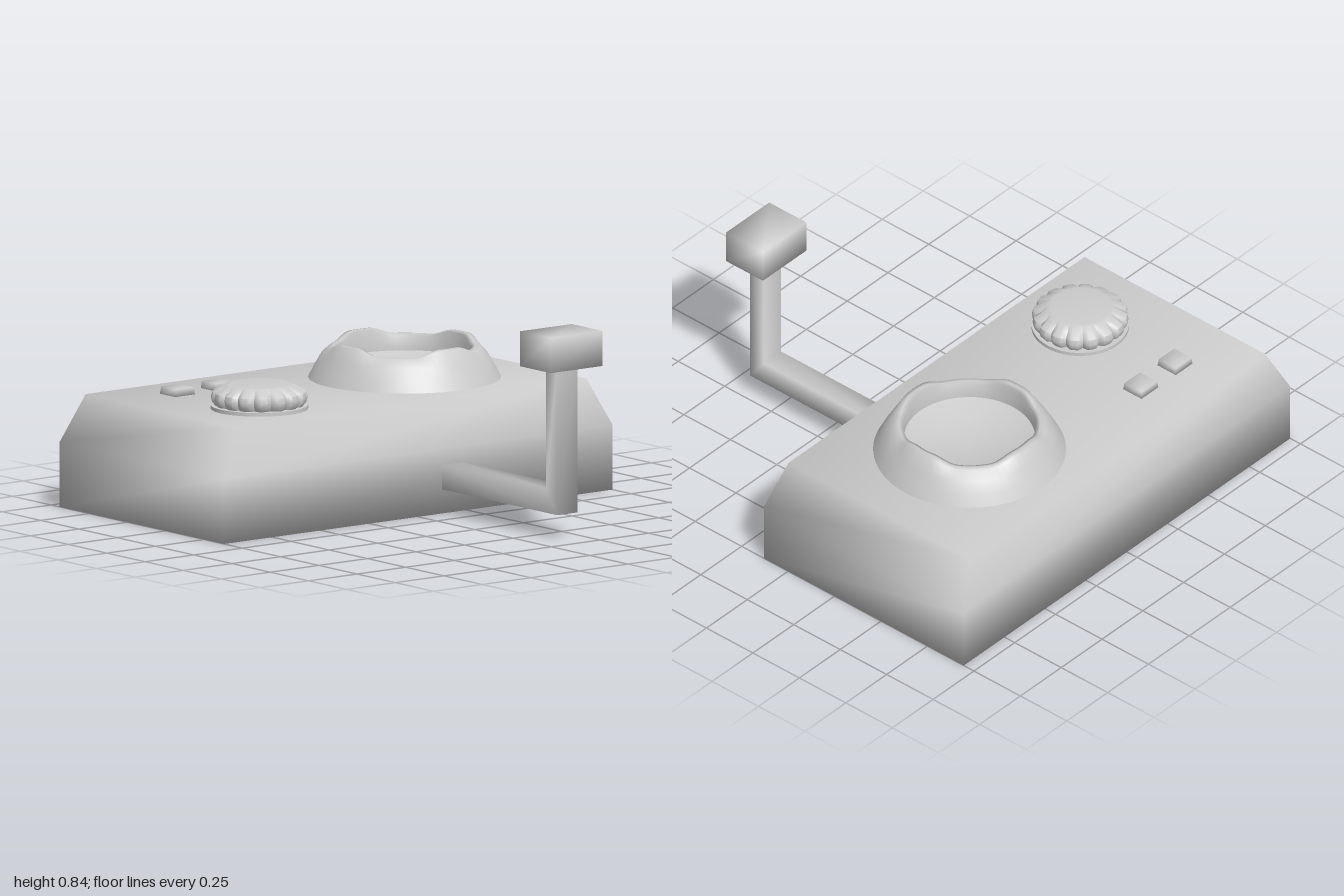
import * as THREE from 'three';
import { mergeVertices, toCreasedNormals } from 'three/addons/utils/BufferGeometryUtils.js';

const material = new THREE.MeshStandardMaterial({ color: 0xcccccc });

// Share corner vertices so the shading runs smoothly over the edges
function smooth(geo) {
  geo.deleteAttribute('uv');
  geo.deleteAttribute('normal');
  const merged = mergeVertices(geo, 1e-4);
  merged.computeVertexNormals();
  return merged;
}

// Move every vertex by a rule
function reshape(geo, rule) {
  const p = geo.attributes.position;
  const v = new THREE.Vector3();
  for (let i = 0; i < p.count; i++) {
    v.fromBufferAttribute(p, i);
    rule(v);
    p.setXYZ(i, v.x, v.y, v.z);
  }
  return geo;
}

function lathe(points, segments) {
  return new THREE.LatheGeometry(points.map(([r, y]) => new THREE.Vector2(r, y)), segments);
}

export function createModel() {
  const group = new THREE.Group();
  const add = (name, geo, x = 0, y = 0, z = 0) => {
    const mesh = new THREE.Mesh(geo, material);
    mesh.name = name;
    mesh.position.set(x, y, z);
    group.add(mesh);
  };

  // Housing: straight walls with a sloped shoulder up to the flat top
  const housing = reshape(new THREE.BoxGeometry(2, 1, 1.075, 1, 2, 1), (v) => {
    if (v.y > 0.4) {
      v.x *= 0.905;
      v.z *= 0.905;
      v.y = 0.46;
    } else v.y = v.y < -0.4 ? 0 : 0.265;
  });
  add('housing', smooth(housing), 0, 0, -0.4075);

  // Bowl holder: flared ring whose rim rises in four raised lugs
  const ringX = 0.355, ringZ = -0.41, top = 0.46;
  const rim = reshape(
    lathe([[0.39, 0], [0.367, 0.045], [0.338, 0.095], [0.305, 0.125], [0.285, 0.128], [0.268, 0.122], [0.265, 0.06]], 72),
    (v) => {
      if (v.y < 0.11) return;
      const step = Math.PI / 2;
      const a = Math.atan2(v.x, v.z);
      const off = Math.abs(a - Math.round(a / step) * step);
      v.y += 0.027 * THREE.MathUtils.clamp((0.48 - off) / 0.27, 0, 1);
    });
  add('holderRing', smooth(rim), ringX, top, ringZ);
  add('holderDish', smooth(lathe([[0.265, 0.06], [0.16, 0.028], [0, 0.01]], 72)), ringX, top, ringZ);

  // Control knob: thin base plate and a scalloped, domed grip
  const knobX = -0.55, knobZ = -0.21;
  add('knobBase', new THREE.CylinderGeometry(0.198, 0.198, 0.015, 48), knobX, top + 0.0075, knobZ);
  const grip = reshape(
    lathe([[0.178, 0.012], [0.192, 0.03], [0.196, 0.05], [0.19, 0.07], [0.165, 0.085], [0.135, 0.1], [0.12, 0.102], [0, 0.102]], 128),
    (v) => {
      const r = Math.hypot(v.x, v.z);
      if (r < 0.15) return;
      const wave = Math.pow(Math.abs(Math.cos(8 * Math.atan2(v.x, v.z))), 8);
      const k = 1 - 0.09 * wave;
      v.x *= k;
      v.z *= k;
    });
  add('knobGrip', toCreasedNormals(smooth(grip), 0.7), knobX, top, knobZ);

  // Two small push buttons
  for (const x of [-0.613, -0.403]) {
    const button = reshape(new THREE.BoxGeometry(0.104, 0.035, 0.1), (v) => {
      if (v.y > 0) {
        v.x *= 0.92;
        v.z *= 0.92;
      }
    });
    add('button', smooth(button), x, top + 0.012, -0.665);
  }

  // Crank arm: L-shaped bar, drawn in z-y and extruded across x
  const profile = new THREE.Shape([
    [0.05, 0.1], [0.885, 0.1], [0.885, 0.72], [0.81, 0.72], [0.81, 0.2], [0.05, 0.2],
  ].map(([z, y]) => new THREE.Vector2(-z, y)));
  const arm = new THREE.ExtrudeGeometry(profile, { depth: 0.105, bevelEnabled: false });
  arm.rotateY(Math.PI / 2);
  add('crankArm', smooth(arm), 0.121, 0, 0);

  // Crank handle block
  add('crankHandle', smooth(new THREE.BoxGeometry(0.266, 0.144, 0.2)), 0.173, 0.773, 0.845);

  return group;
}
